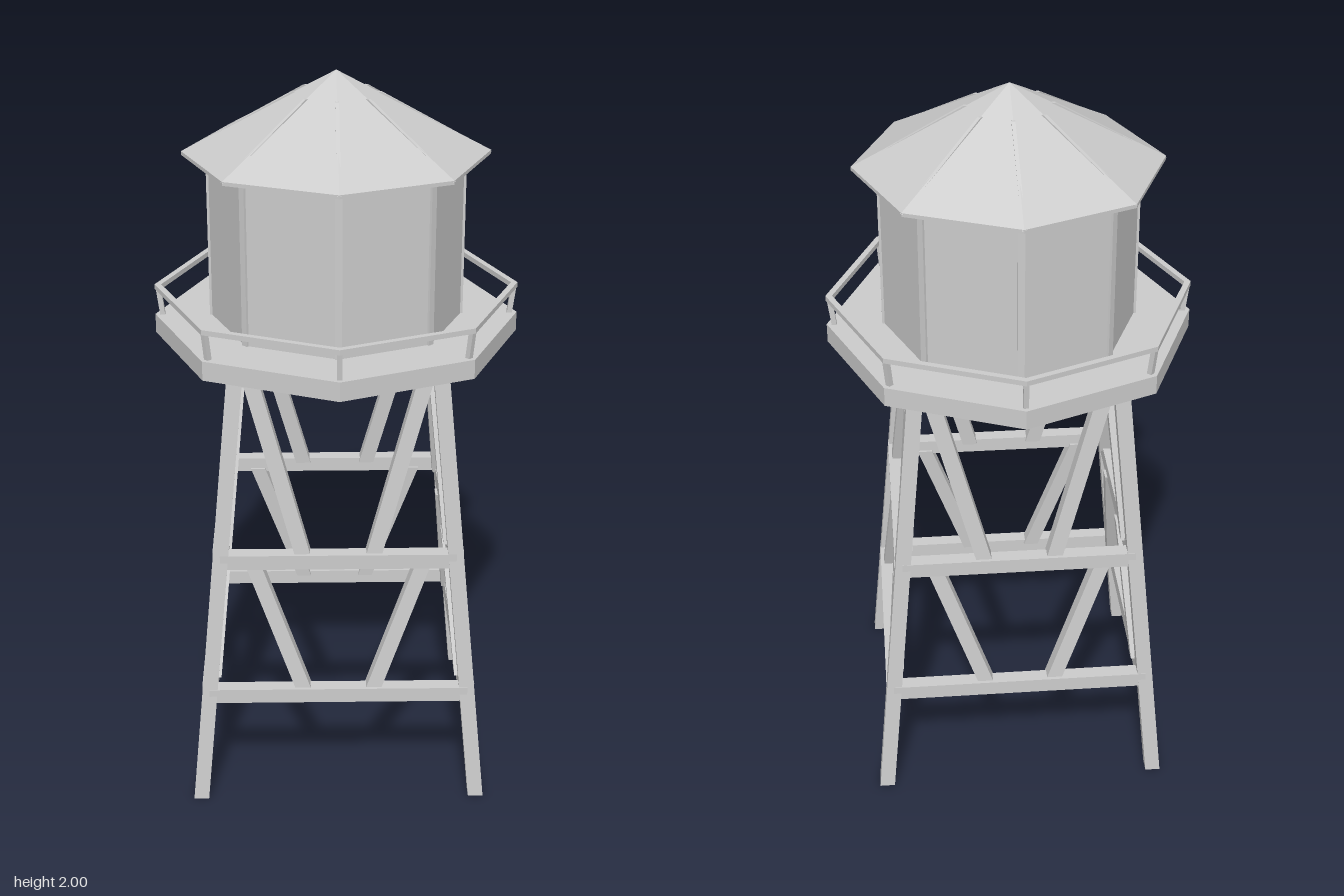
import * as THREE from 'three';

const material = new THREE.MeshStandardMaterial({ color: 0xcccccc, flatShading: true, side: THREE.DoubleSide });

function add(parent, name, geometry) {
  const mesh = new THREE.Mesh(geometry, material);
  mesh.name = name;
  parent.add(mesh);
  return mesh;
}

// Slanted bar with level ends: a box sheared to run from point a up to point b
function bar(a, b, width, depth) {
  const h = b[1] - a[1];
  const geometry = new THREE.BoxGeometry(width, h, depth);
  const p = geometry.attributes.position;
  for (let i = 0; i < p.count; i++) {
    const t = p.getY(i) / h + 0.5;
    p.setXYZ(i,
      p.getX(i) + a[0] + (b[0] - a[0]) * t,
      a[1] + h * t,
      p.getZ(i) + a[2] + (b[2] - a[2]) * t);
  }
  geometry.computeVertexNormals();
  return geometry;
}

// Octagonal drum with its corners on the axes
function drum(rTop, rBottom, y0, y1) {
  return new THREE.CylinderGeometry(rTop, rBottom, y1 - y0, 8).translate(0, (y0 + y1) / 2, 0);
}

const TOP = 1.275;
const legX = y => 0.39 - 0.12 * y / TOP;
const legZ = y => 0.365 - 0.095 * y / TOP;

export function createModel() {
  const model = new THREE.Group();
  model.name = 'waterTower';

  // Supporting frame
  const frame = new THREE.Group();
  frame.name = 'frame';
  model.add(frame);
  const inset = 0.008;
  for (const sx of [-1, 1]) {
    for (const sz of [-1, 1]) {
      add(frame, 'leg', bar([sx * legX(0), 0, sz * legZ(0)], [sx * legX(TOP), TOP, sz * legZ(TOP)], 0.042, 0.042));
    }
  }

  // Three levels of horizontal beams
  for (const y of [0.325, 0.73, 1.252]) {
    for (const s of [-1, 1]) {
      add(frame, 'crossBeam', new THREE.BoxGeometry(2 * legX(y), 0.042, 0.042).translate(0, y, s * legZ(y)));
      add(frame, 'sideBeam', new THREE.BoxGeometry(0.042, 0.042, 2 * legZ(y)).translate(s * legX(y), y, 0));
    }
  }

  // Diagonal braces: [y low, y high, x low, x high, z low, z high]
  const braces = [
    [0.335, 0.72, 0.095, 0.232, 0.257, 0.117],
    [0.74, 1.24, 0.095, 0.23, 0.23, 0.093],
  ];
  for (const [y0, y1, x0, x1, z0, z1] of braces) {
    for (const s of [-1, 1]) {
      for (const face of [-1, 1]) {
        add(frame, 'frontBackBrace', bar(
          [s * x0, y0, face * (legZ(y0) - inset)],
          [s * x1, y1, face * (legZ(y1) - inset)], 0.043, 0.042));
        add(frame, 'sideBrace', bar(
          [face * (legX(y0) - inset), y0, s * z0],
          [face * (legX(y1) - inset), y1, s * z1], 0.042, 0.043));
      }
    }
  }

  // Platform, tank and roof
  add(model, 'platform', drum(0.496, 0.496, TOP, 1.328));
  add(model, 'tank', drum(0.343, 0.343, 1.328, 1.78));
  add(model, 'roofEave', drum(0.41, 0.41, 1.775, 1.785));
  add(model, 'roof', drum(0, 0.41, 1.785, 2));

  // Handrail ring
  const section = [[0.477, 1.4], [0.495, 1.4], [0.495, 1.414], [0.477, 1.414], [0.477, 1.4]];
  add(model, 'handrail', new THREE.LatheGeometry(section.map(([r, y]) => new THREE.Vector2(r, y)), 8));

  // Posts and seam ribs at each of the eight corners
  for (let i = 0; i < 8; i++) {
    const corner = new THREE.Group();
    corner.name = 'corner';
    corner.rotation.y = i * Math.PI / 4;
    model.add(corner);
    add(corner, 'railPost', bar([0, 1.325, 0.475], [0, 1.405, 0.485], 0.014, 0.014));
    add(corner, 'tankRib', new THREE.BoxGeometry(0.018, 0.45, 0.016).translate(0, 1.553, 0.338));
    add(corner, 'roofRib', bar([0, 1.782, 0.402], [0, 1.942, 0.11], 0.01, 0.016));
  }
  return model;
}
